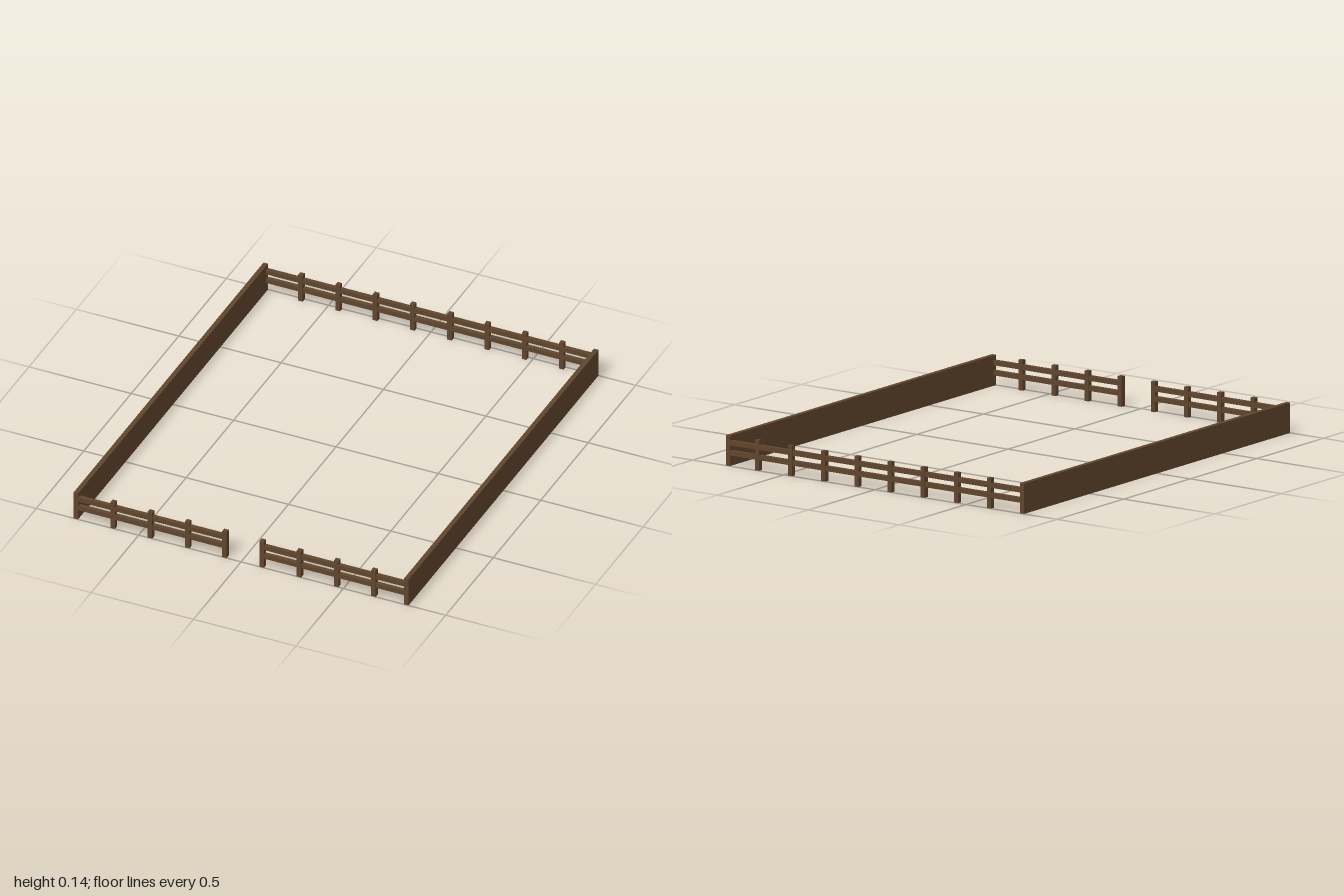
import * as THREE from 'three';

export function createModel() {
  const model = new THREE.Group();
  model.name = 'fencedPen';
  const wood = new THREE.MeshStandardMaterial({ color: 0x5f452c });
  wood.name = 'brown wood';

  const H = 0.138, POST = 0.022, DEPTH = 0.023;

  // Box given by its extents along each axis
  function box(parent, name, [x0, x1], [y0, y1], [z0, z1]) {
    const mesh = new THREE.Mesh(new THREE.BoxGeometry(x1 - x0, y1 - y0, z1 - z0), wood);
    mesh.position.set((x0 + x1) / 2, (y0 + y1) / 2, (z0 + z1) / 2);
    mesh.name = name;
    parent.add(mesh);
  }

  // Run of evenly spaced posts joined by two rails
  function fence(name, posts, x0, x1, z) {
    const group = new THREE.Group();
    group.name = name;
    for (const x of posts) {
      box(group, 'post', [x - POST / 2, x + POST / 2], [0, H], [z - DEPTH / 2, z + DEPTH / 2]);
    }
    for (const y of [0.059, 0.105]) {
      box(group, 'rail', [x0, x1], [y - 0.011, y + 0.011], [z - 0.01, z + 0.01]);
    }
    model.add(group);
  }

  const posts = Array.from({ length: 8 }, (_, i) => -0.627 + i * 0.182);
  const z = 1 - DEPTH / 2;
  fence('backFence', posts, -0.81, 0.81, -z);

  // Front fence has an entrance gap between its two runs
  fence('frontRightFence', posts.slice(0, 4), -0.81, posts[3], z);
  fence('frontLeftFence', posts.slice(4), posts[4], 0.81, z);

  // Solid side walls
  box(model, 'rightWall', [-0.818, -0.796], [0, H], [-1, 1]);
  box(model, 'leftWall', [0.796, 0.818], [0, H], [-1, 1]);

  return model;
}
